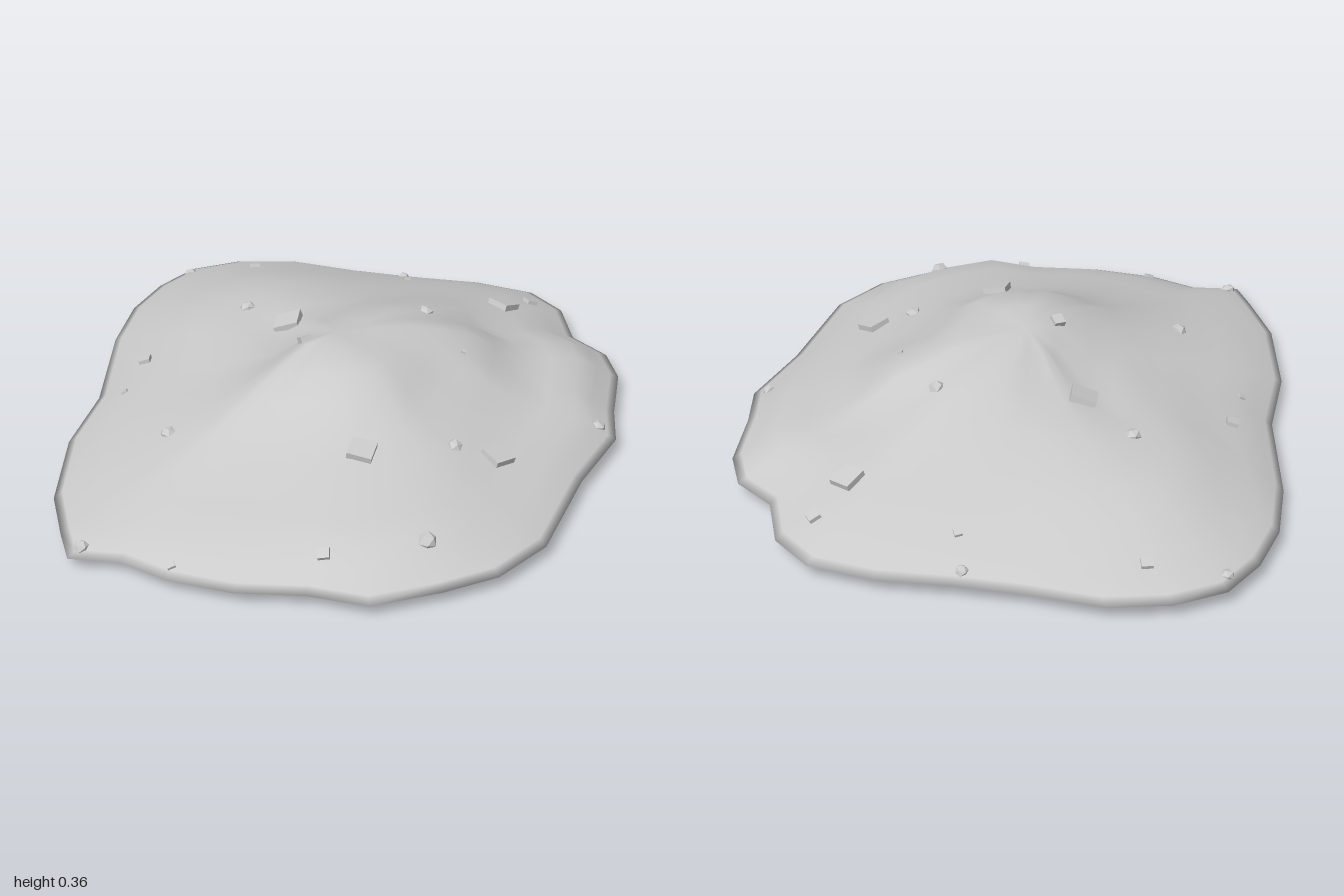
import * as THREE from 'three';
import { mergeVertices } from 'three/addons/utils/BufferGeometryUtils.js';

// Rim of the mound, seen from above (x, z)
const OUTLINE = [
  [0.2, -1], [0.4, -0.978], [0.525, -0.88], [0.602, -0.705], [0.73, -0.62], [0.795, -0.49],
  [0.825, -0.265], [0.862, -0.105], [0.81, 0.16], [0.783, 0.53], [0.69, 0.715], [0.56, 0.83],
  [0.38, 0.955], [0.2, 0.955], [0, 1], [-0.2, 0.995], [-0.36, 0.948], [-0.505, 0.973],
  [-0.57, 0.865], [-0.665, 0.69], [-0.745, 0.38], [-0.755, 0.105], [-0.845, -0.265], [-0.866, -0.49],
  [-0.838, -0.67], [-0.772, -0.82], [-0.637, -0.92], [-0.457, -0.975], [-0.23, -0.967], [-0.02, -0.977],
];

// Heights along twelve spokes (every 30 degrees from +x towards +z) at these fractions of the rim;
// the rim itself lies a little higher at the back left than at the front right
const STOPS = [0, 0.12, 0.25, 0.45, 0.65, 0.85, 0.97, 1];
const SPOKES = [
  [0.345, 0.334, 0.245, 0.16, 0.12], [0.35, 0.336, 0.225, 0.16, 0.1],
  [0.356, 0.34, 0.222, 0.175, 0.135], [0.36, 0.34, 0.235, 0.17, 0.118],
  [0.354, 0.305, 0.215, 0.145, 0.09], [0.33, 0.262, 0.2, 0.15, 0.103],
  [0.312, 0.248, 0.208, 0.16, 0.113], [0.3, 0.23, 0.208, 0.177, 0.103],
  [0.315, 0.258, 0.225, 0.18, 0.107], [0.335, 0.308, 0.243, 0.183, 0.117],
  [0.338, 0.323, 0.262, 0.182, 0.118], [0.342, 0.336, 0.285, 0.16, 0.143],
].map((s, k) => {
  const tilt = 0.006 * Math.cos((k - 10) * Math.PI / 6);
  return [0.347, ...s, 0.061 + tilt, 0.046 + tilt];
});

function topHeight(angle, t) {
  const a = ((angle / (Math.PI / 6)) + 12) % 12;
  const k = Math.floor(a);
  const f = THREE.MathUtils.smoothstep(a - k, 0, 1);
  const i = Math.max(1, STOPS.findIndex((s) => s >= t));
  const g = (t - STOPS[i - 1]) / (STOPS[i] - STOPS[i - 1]);
  const along = (s) => THREE.MathUtils.lerp(s[i - 1], s[i], g);
  return THREE.MathUtils.lerp(along(SPOKES[k % 12]), along(SPOKES[(k + 1) % 12]), f);
}

// Underside is nearly flat, with two shallow sags
function bottomHeight(x, z, t) {
  const sag = (cx, cz, depth, spread) => depth * Math.exp(-((x - cx) ** 2 + (z - cz) ** 2) / spread);
  return 0.024 - sag(-0.4, -0.05, 0.024, 0.08) - sag(-0.5, 0.85, 0.008, 0.06)
    + 0.01 * THREE.MathUtils.smoothstep(t, 0.9, 1);
}

// Closed skin: rings run from under the centre, out over the rim and up to the summit
function moundGeometry() {
  const under = [0, 0.3, 0.5, 0.7, 0.85, 0.96];
  const over = [1, 0.97, 0.92, 0.85, 0.75, 0.65, 0.55, 0.45, 0.35, 0.25, 0.12, 0];
  const rings = [...under.map((t) => [t, false]), ...over.map((t) => [t, true])];
  const n = OUTLINE.length;
  const positions = [];
  const index = [];
  rings.forEach(([t, top], i) => {
    OUTLINE.forEach(([ox, oz], j) => {
      const x = ox * t, z = oz * t;
      positions.push(x, top ? topHeight(Math.atan2(oz, ox), t) : bottomHeight(x, z, t), z);
      if (i === rings.length - 1) return;
      const a = i * n + j, b = i * n + (j + 1) % n;
      index.push(a, a + n, b, b, a + n, b + n);
    });
  });
  const geometry = new THREE.BufferGeometry();
  geometry.setAttribute('position', new THREE.Float32BufferAttribute(positions, 3));
  geometry.setIndex(index);
  const merged = mergeVertices(geometry, 1e-5);
  merged.computeVertexNormals();
  return merged;
}

export function createModel() {
  const group = new THREE.Group();
  const smooth = new THREE.MeshStandardMaterial({ color: 0xcccccc });
  const faceted = new THREE.MeshStandardMaterial({ color: 0xcccccc, flatShading: true });

  const mound = new THREE.Mesh(moundGeometry(), smooth);
  mound.name = 'mound';
  group.add(mound);

  // Stones rest half sunk in the slope, turned to its normal
  const ray = new THREE.Raycaster();
  const up = new THREE.Vector3(0, 1, 0);
  function scatter(name, geometry, places) {
    for (const [x, z, size, turn] of places) {
      ray.set(new THREE.Vector3(x, 2, z), new THREE.Vector3(0, -1, 0));
      const [hit] = ray.intersectObject(mound);
      const stone = new THREE.Mesh(geometry, faceted);
      stone.name = name;
      stone.position.copy(hit.point);
      stone.quaternion.setFromUnitVectors(up, hit.face.normal);
      stone.rotateY(turn);
      stone.scale.setScalar(size);
      group.add(stone);
    }
  }

  // Flat slabs
  scatter('slab', new THREE.BoxGeometry(1, 0.5, 1), [
    [0.37, -0.67, 0.073, -0.45], [-0.22, -0.2, 0.08, 0.15],
    [0.57, 0.25, 0.073, -0.6], [0.21, 0.45, 0.075, 0.03],
  ]);

  // Rounded pebbles
  scatter('pebble', new THREE.IcosahedronGeometry(1, 0).scale(1, 0.75, 1), [
    [-0.76, -0.76, 0.021, 0.2], [-0.04, -0.93, 0.02, 1], [-0.4, -0.32, 0.026, 0.5],
    [0.2, -0.32, 0.025, 1.4], [0.805, -0.12, 0.022, 0.8], [0.45, 0.29, 0.025, 2],
    [-0.4, 0.425, 0.025, 2.6], [0.48, 0.715, 0.029, 0.3], [-0.48, 0.93, 0.024, 1.1],
  ]);

  // Small angular chips
  scatter('chip', new THREE.BoxGeometry(1, 0.7, 1), [
    [-0.54, -0.81, 0.034, 0.3], [0, -0.82, 0.024, 0.5], [0.43, -0.81, 0.036, 0.7],
    [-0.65, -0.04, 0.036, 0.2], [-0.65, 0.145, 0.02, 0.4], [0.37, -0.12, 0.015, 0.1],
    [-0.08, 0.07, 0.036, 0.7], [0.215, 0.84, 0.034, 0.25], [-0.2, 0.95, 0.024, 0.6],
  ]);

  return group;
}
